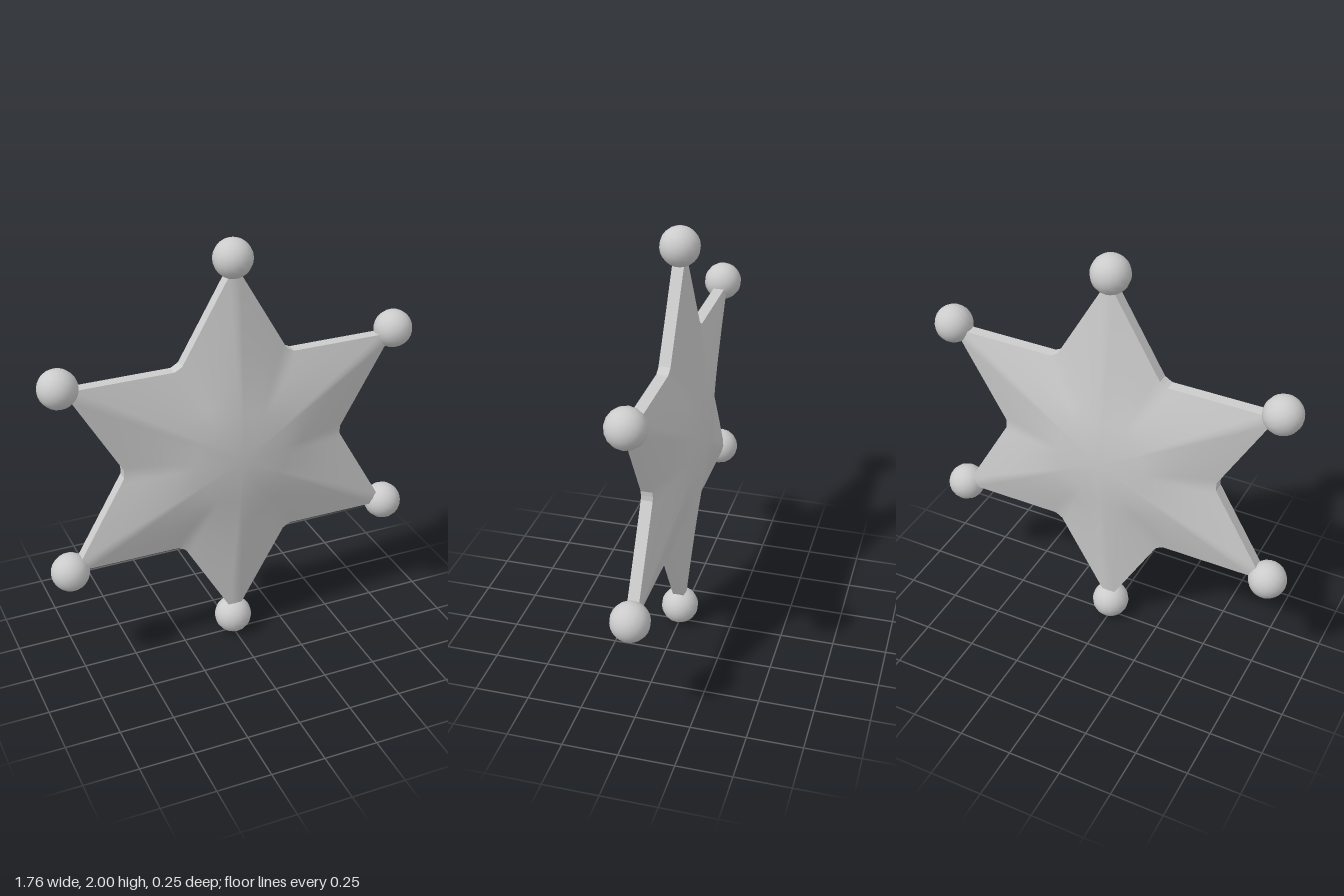
import * as THREE from 'three';

const rad = THREE.MathUtils.degToRad;
const ARMS = 6, RIM = 0.026, PEAK = 0.125, DISC_R = 0.22, DISC_Z = 0.1;

// Outline radius at a given angle (degrees) away from an arm's axis; notches are slightly blunted
const outlineRadius = (a) =>
  Math.max(0.446 / Math.cos(rad(60 - a)), 0.526 / Math.cos(rad(30 - a)));

// Directions and radii all the way round the star, starting at the top arm
function outline() {
  const half = [0, 2, 5, 9, 14, 20, 25, 27.7];
  const steps = [...half, 30, ...half.slice(1).reverse().map((a) => 60 - a)];
  const points = [];
  for (let i = 0; i < ARMS; i++) {
    for (const s of steps) {
      points.push({ angle: rad(90 + i * 60 + s), r: outlineRadius(Math.min(s, 60 - s)) });
    }
  }
  return points;
}

function makeGeometry(positions, index) {
  const g = new THREE.BufferGeometry();
  g.setAttribute('position', new THREE.Float32BufferAttribute(positions, 3));
  g.setIndex(index);
  g.computeVertexNormals();
  return g;
}

// One domed face: shallow central cone, then straight lines out to the rim
function faceGeometry(points) {
  const n = points.length, rings = 5;
  const pos = [0, 0, PEAK], index = [];
  for (let k = 0; k < rings; k++) {
    const t = k / (rings - 1);
    for (const { angle, r } of points) {
      const d = THREE.MathUtils.lerp(DISC_R, r, t);
      pos.push(d * Math.cos(angle), d * Math.sin(angle), THREE.MathUtils.lerp(DISC_Z, RIM, t));
    }
  }
  for (let j = 0; j < n; j++) {
    const m = (j + 1) % n;
    index.push(0, 1 + j, 1 + m);
    for (let k = 0; k < rings - 1; k++) {
      const a = 1 + k * n, b = a + n;
      index.push(a + j, b + j, b + m, a + j, b + m, a + m);
    }
  }
  return makeGeometry(pos, index);
}

// Flat band joining the two faces
function rimGeometry(points) {
  const n = points.length, pos = [], index = [];
  for (const { angle, r } of points) {
    const x = r * Math.cos(angle), y = r * Math.sin(angle);
    pos.push(x, y, RIM, x, y, -RIM);
  }
  for (let j = 0; j < n; j++) {
    const a = 2 * j, b = 2 * ((j + 1) % n);
    index.push(a, a + 1, b + 1, a, b + 1, b);
  }
  return makeGeometry(pos, index);
}

export function createModel() {
  const model = new THREE.Group();
  model.name = 'starBadge';
  const smooth = new THREE.MeshStandardMaterial({ color: 0xcccccc });
  const flat = new THREE.MeshStandardMaterial({ color: 0xcccccc, flatShading: true });

  const add = (name, geometry, material) => {
    const mesh = new THREE.Mesh(geometry, material);
    mesh.name = name;
    mesh.position.y = 1;
    model.add(mesh);
    return mesh;
  };

  // Star body
  const points = outline();
  const face = faceGeometry(points);
  add('frontFace', face, smooth);
  add('backFace', face, smooth).rotation.y = Math.PI;
  add('rim', rimGeometry(points), flat);

  // Ball on the tip of each arm
  const ball = new THREE.SphereGeometry(0.088, 16, 12);
  for (let i = 0; i < ARMS; i++) {
    const a = rad(90 + i * 60);
    const mesh = add('tipBall' + (i + 1), ball, smooth);
    mesh.position.set(0.912 * Math.cos(a), 1 + 0.912 * Math.sin(a), 0);
    mesh.rotation.z = a - Math.PI / 2;
  }
  return model;
}
